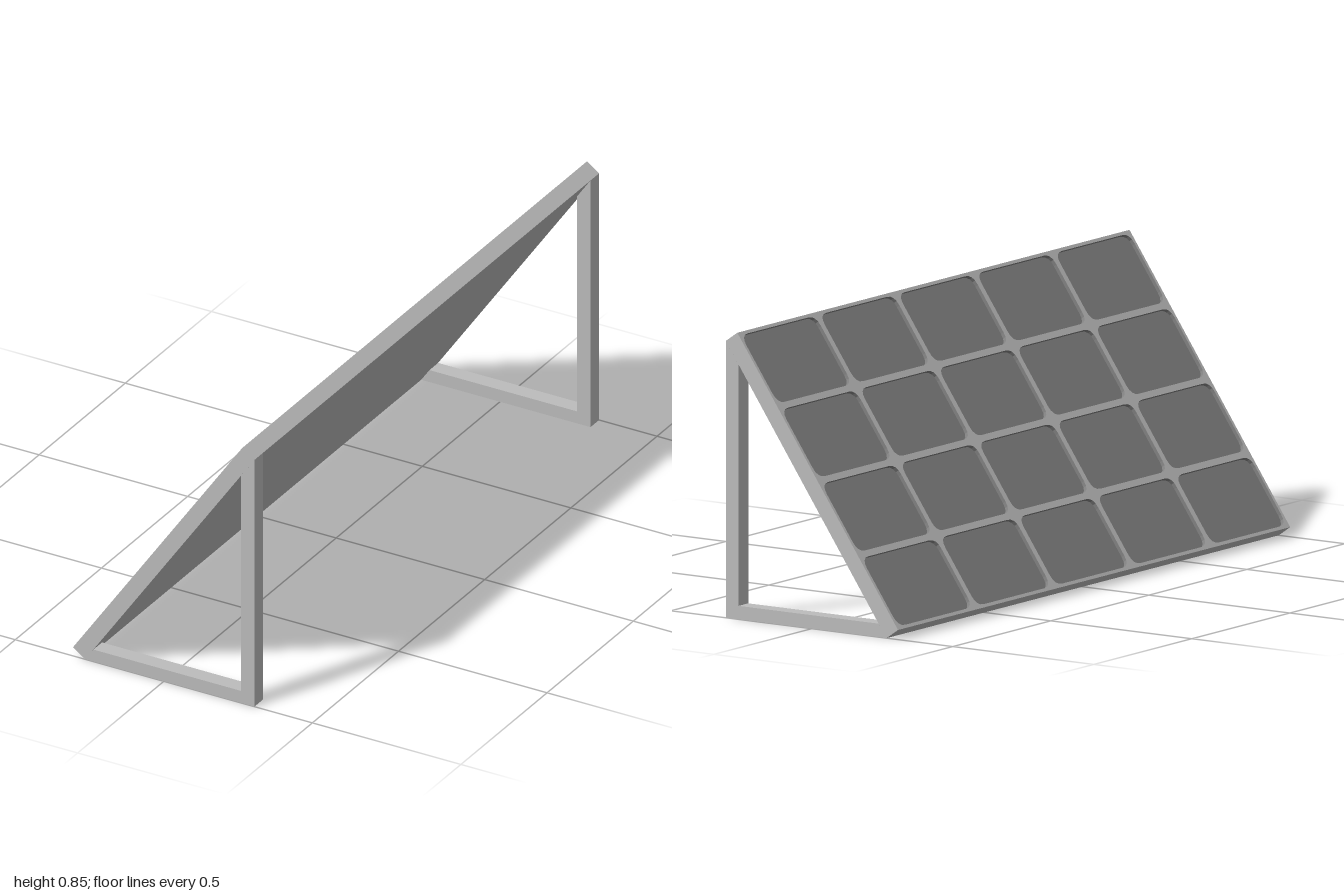
import * as THREE from 'three';

const frameGrey = new THREE.MeshStandardMaterial({ color: 0xbcbcbc });
frameGrey.name = 'frameGrey';
const cellGrey = new THREE.MeshStandardMaterial({ color: 0x828282 });
cellGrey.name = 'cellGrey';

const LENGTH = 2, THICK = 0.05, RECESS = 0.012;
const RUN = 0.57, RISE = 0.82;
const SLOPE = Math.hypot(RUN, RISE);
const ROWS = 4, COLS = 5, GAP = 0.02, RADIUS = 0.035;

function addMesh(parent, name, geometry, material) {
  const mesh = new THREE.Mesh(geometry, material);
  mesh.name = name;
  parent.add(mesh);
  return mesh;
}

function polygon(points) {
  return new THREE.Shape(points.map(([x, y]) => new THREE.Vector2(x, y)));
}

// Rounded rectangle for one solar cell
function cellOutline(cx, cy, w, h) {
  const l = cx - w / 2, r = cx + w / 2, b = cy - h / 2, t = cy + h / 2, k = RADIUS;
  const s = new THREE.Shape();
  s.moveTo(l + k, b);
  s.lineTo(r - k, b);
  s.quadraticCurveTo(r, b, r, b + k);
  s.lineTo(r, t - k);
  s.quadraticCurveTo(r, t, r - k, t);
  s.lineTo(l + k, t);
  s.quadraticCurveTo(l, t, l, t - k);
  s.lineTo(l, b + k);
  s.quadraticCurveTo(l, b, l + k, b);
  return s;
}

// Sloping panel: local x runs up the slope, local y points outward
function createPanel() {
  const panel = new THREE.Group();
  panel.name = 'solarPanel';

  const baseThick = THICK - RECESS;
  const base = addMesh(panel, 'panelBase', new THREE.BoxGeometry(SLOPE, baseThick, LENGTH), frameGrey);
  base.position.set(SLOPE / 2, baseThick / 2, 0);

  const outlines = [];
  const pitchX = SLOPE / ROWS, pitchZ = LENGTH / COLS;
  for (let i = 0; i < ROWS; i++) {
    for (let j = 0; j < COLS; j++) {
      outlines.push(cellOutline((i + 0.5) * pitchX, (j + 0.5) * pitchZ - LENGTH / 2, pitchX - GAP, pitchZ - GAP));
    }
  }

  // Raised lattice with a hole over each cell
  const h = LENGTH / 2;
  const lattice = polygon([[0, -h], [SLOPE, -h], [SLOPE, h], [0, h]]);
  lattice.holes.push(...outlines);
  const grid = new THREE.ExtrudeGeometry(lattice, { depth: RECESS, bevelEnabled: false, curveSegments: 4 });
  // Caps and outer rim are frame coloured, recess walls are cell coloured
  const [caps, sides] = grid.groups.map((g) => ({ ...g }));
  const rim = 24;
  grid.clearGroups();
  grid.addGroup(caps.start, caps.count, 0);
  grid.addGroup(sides.start, rim, 0);
  grid.addGroup(sides.start + rim, sides.count - rim, 1);
  grid.rotateX(-Math.PI / 2);
  addMesh(panel, 'cellLattice', grid, [frameGrey, cellGrey]).position.y = baseThick;

  // Cell faces at the bottom of the recesses
  outlines.forEach((outline) => {
    const face = new THREE.ShapeGeometry(outline, 4).rotateX(-Math.PI / 2);
    addMesh(panel, 'solarCell', face, cellGrey).position.y = baseThick + 0.001;
  });

  panel.position.set(-0.265, 0, 0);
  panel.rotation.z = Math.atan2(RISE, RUN);
  return panel;
}

export function createModel() {
  const model = new THREE.Group();
  model.name = 'solarPanelStand';
  model.add(createPanel());

  // L-shaped stand at each end: foot bar and upright post
  const stand = polygon([
    [-0.265, 0], [0.305, 0], [0.305, 0.82], [0.26, 0.755], [0.26, 0.04], [-0.237, 0.04],
  ]);
  const standGeometry = new THREE.ExtrudeGeometry(stand, { depth: 0.05, bevelEnabled: false });
  for (const [name, z] of [['frontStand', 0.95], ['backStand', -1]]) {
    addMesh(model, name, standGeometry, frameGrey).position.z = z;
  }
  return model;
}
